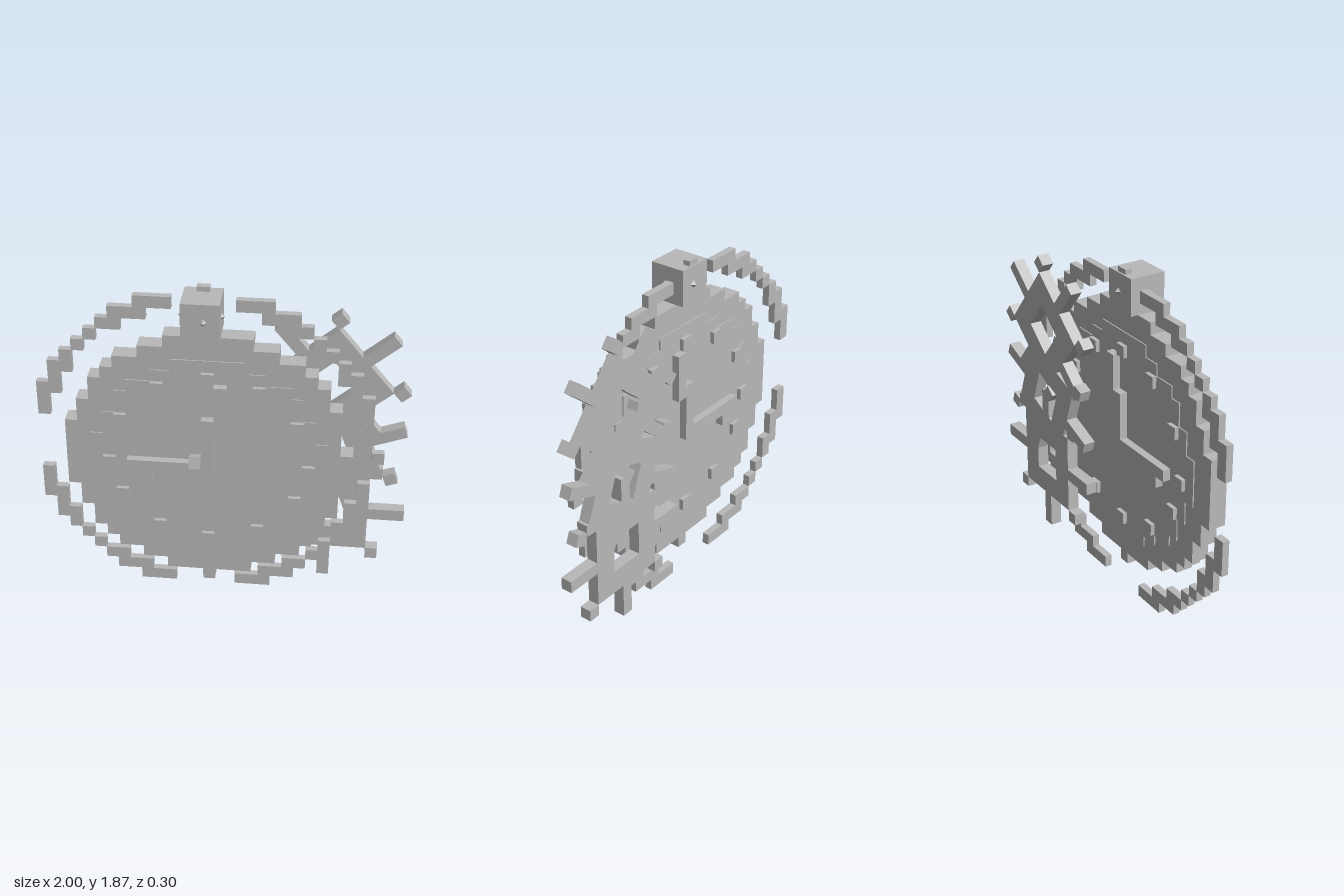
import * as THREE from 'three';

const U = 1 / 15; // size of one block

export function createModel() {
  const model = new THREE.Group();
  const grey = new THREE.MeshStandardMaterial({ color: 0xb8b8b8 });
  grey.name = 'grey';

  const add = (parent, geo, name) => {
    const m = new THREE.Mesh(geo, grey);
    m.name = name;
    parent.add(m);
    return m;
  };
  // box spanning block units in x and y, and model units in z
  const box = (parent, name, x1, x2, y1, y2, z1, z2) => {
    const m = add(parent, new THREE.BoxGeometry((x2 - x1) * U, (y2 - y1) * U, z2 - z1), name);
    m.position.set((x1 + x2) / 2 * U, (y1 + y2) / 2 * U, (z1 + z2) / 2);
    return m;
  };
  const toVecs = pts => pts.map(([x, y]) => new THREE.Vector2(x * U, y * U));
  const slab = (parent, name, pts, z1, z2, hole) => {
    const shape = new THREE.Shape(toVecs(pts));
    if (hole) shape.holes.push(new THREE.Path(toVecs(hole)));
    const geo = new THREE.ExtrudeGeometry(shape, { depth: z2 - z1, bevelEnabled: false });
    return add(parent, geo.translate(0, 0, z1), name);
  };
  // stepped disc outline from the half-width of each row above the middle
  const stepped = (right, left = right) => {
    const pts = [];
    const n = right.length;
    for (let r = -n; r < n; r++) {
      const w = right[r < 0 ? -r - 1 : r];
      pts.push([w, r], [w, r + 1]);
    }
    for (let r = n - 1; r >= -n; r--) {
      const w = left[r < 0 ? -r - 1 : r];
      pts.push([-w, r + 1], [-w, r]);
    }
    return pts.filter((p, i) => {
      const q = pts[(i + 1) % pts.length];
      return p[0] !== q[0] || p[1] !== q[1];
    });
  };

  // clock body, slightly proud dial on both sides, foot
  const clock = new THREE.Group();
  clock.name = 'clock';
  clock.position.set(-U, 0.9, 0);
  model.add(clock);
  const edge = [10.5, 10.5, 9.5, 9.5, 8.5, 7.5, 5.5, 3.5];
  slab(clock, 'caseBody',
    stepped([11.5, 10.5, 10.5, ...edge], [11.5, 11.5, 11.5, ...edge]), -0.03, 0.07);
  slab(clock, 'dial', stepped([9.5, 9.5, 8.5, 8.5, 7.5, 7.5, 6.5, 4.5, 3]), -0.037, 0.077);
  box(clock, 'foot', -0.5, 0.5, -12, -11, -0.03, 0.07);
  box(clock, 'neck', -1.5, 0.5, 11, 12, -0.03, 0.07);

  // hour markers, showing on both faces
  const markers = [[0, 7.5], [0, -7.5]];
  for (const s of [-1, 1]) {
    markers.push([8 * s, -0.5]);
    for (const t of [-1, 1]) markers.push([4 * s, 6.5 * t], [7 * s, 3.5 * t]);
  }
  for (const [x, y] of markers)
    box(clock, 'hourMarker', x - 0.5, x + 0.5, y - 0.5, y + 0.5, -0.06, 0.1);

  // both hands as one stepped piece, plus a tilted centre pin
  slab(clock, 'hands', [
    [0.5, 7], [0.5, 4], [-0.5, 4], [-0.5, 0], [-6.5, 0], [-6.5, -1], [-5.5, -1],
    [-5.5, -2], [-4.5, -2], [-4.5, -1], [0.5, -1], [0.5, 3], [1.5, 3], [1.5, 7],
  ], -0.08, 0.12);
  const pin = box(clock, 'centrePin', -1.45, -0.55, -0.4, 0.6, 0.07, 0.14);
  pin.rotation.x = -0.25;

  // crown block with small studs
  const crown = new THREE.Group();
  crown.name = 'crown';
  crown.position.set(-0.1, 1.74, 0.02);
  model.add(crown);
  box(crown, 'crownBlock', -1.5, 1.5, -1.5, 1.5, -0.1, 0.1);
  for (const [x, z] of [[0.1, 0.015], [-0.1, 0.015], [0.015, 0.1], [0.015, -0.1]])
    add(crown, new THREE.OctahedronGeometry(0.02), 'stud').position.set(x, 0, z);

  // broken outer ring: four mirrored quarters of [column, row, width, height]
  const ring = new THREE.Group();
  ring.name = 'outerRing';
  ring.position.set(-0.1, 0.9, 0);
  model.add(ring);
  const quarter = [
    [3, 12.5, 3, 1], [5, 11.5, 3, 1], [7, 10.5, 2, 1], [9, 9.5, 1, 1],
    [10, 8.5, 1, 1], [11, 7, 1, 2], [12, 5, 1, 3], [13, 3, 1, 3],
  ];
  for (const [col, row, w, h] of quarter) {
    const x = col - 0.5, y = row - 0.5 + (h > 1 ? 0 : 0.5);
    for (const s of [-1, 1]) for (const t of [-1, 1]) {
      const yb = h > 1 ? y : row;
      const m = box(ring, 'ringBlock', x, x + w, yb, yb + h, -0.07, -0.03);
      m.position.x *= s;
      m.position.y *= t;
    }
  }
  box(ring, 'topNub', -0.5, 0.5, 12.5, 14.5, -0.07, -0.03);
  box(ring, 'sideNub', 13.5, 14.5, -0.5, 0.5, -0.07, -0.03);

  // three square gears behind the clock, each turned differently
  const square = r => [[-r, -r], [r, -r], [r, r], [-r, r]];
  const Z1 = -0.15, Z2 = -0.085;
  for (const [y, turn] of [[1.305, 40], [0.895, 20], [0.5, 0]]) {
    const gear = new THREE.Group();
    gear.name = 'gear';
    gear.position.set(0.565, y, 0);
    gear.rotation.z = THREE.MathUtils.degToRad(turn);
    slab(gear, 'gearPlate', square(3.5), Z1, Z2, square(1.5));
    for (let i = 0; i < 4; i++) {
      const side = new THREE.Group();
      side.name = 'gearTeeth';
      side.rotation.z = i * Math.PI / 2;
      box(side, 'longTooth', 3.5, 6.5, -0.5, 0.5, Z1, Z2);
      box(side, 'cornerTooth', 3.5, 4.5, 3.5, 4.5, Z1, Z2);
      gear.add(side);
    }
    model.add(gear);
  }
  return model;
}
